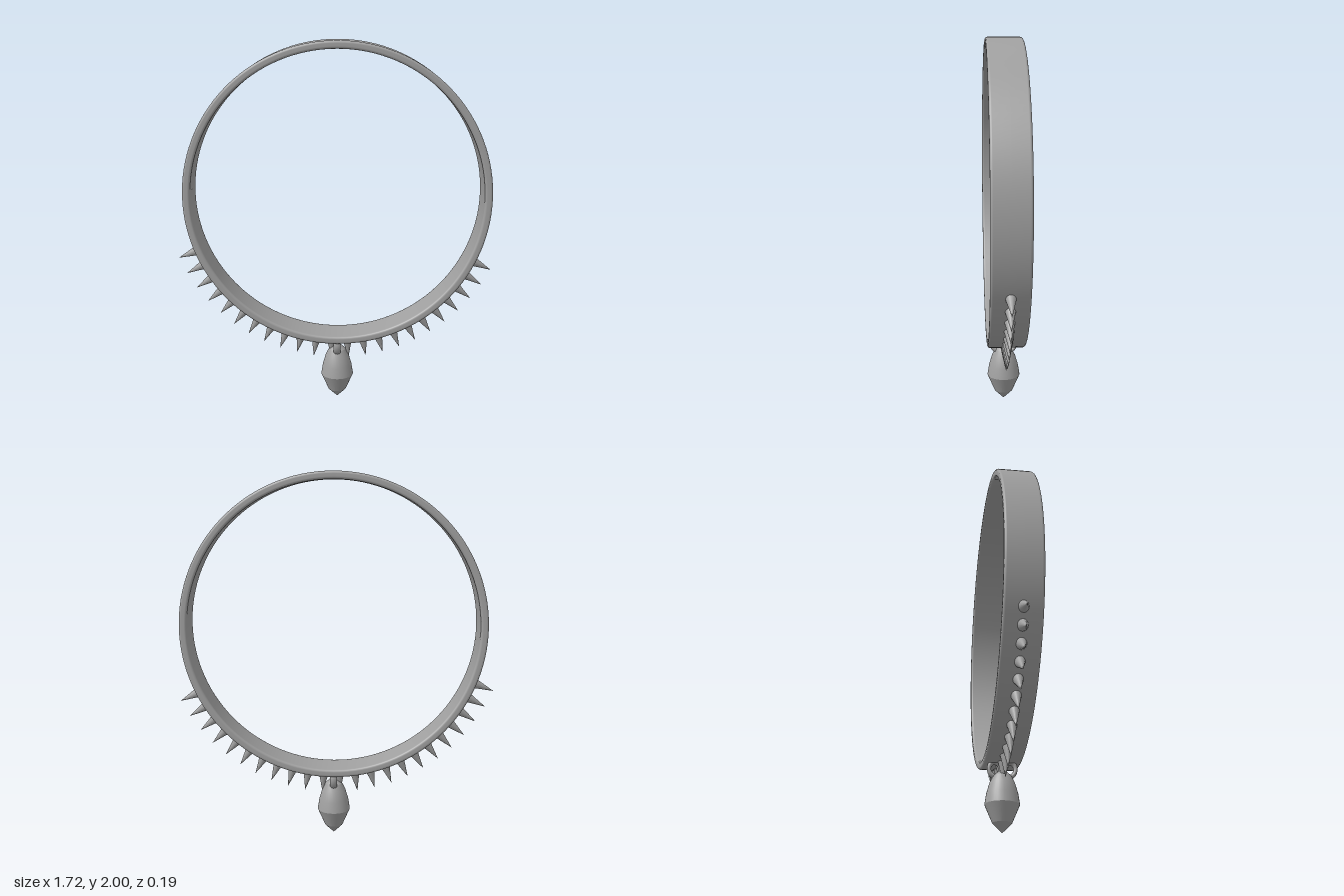
import * as THREE from 'three';
import { toCreasedNormals } from 'three/addons/utils/BufferGeometryUtils.js';

const CX = 0.012, CY = 1.178, OUTER = 0.822, INNER = 0.78, HALF_WIDTH = 0.097;

export function createModel() {
  const model = new THREE.Group();
  model.name = 'spikedCollar';
  const metal = new THREE.MeshStandardMaterial({ color: 0xa0a0a0 });
  metal.name = 'grey metal';

  const add = (name, geometry, parent = model) => {
    const mesh = new THREE.Mesh(geometry, metal);
    mesh.name = name;
    parent.add(mesh);
    return mesh;
  };

  // Band: rounded rectangular section turned around the z axis
  const bevel = 0.013;
  const section = [new THREE.Vector2(OUTER, 0)];
  const corners = [
    [OUTER - bevel, HALF_WIDTH - bevel], [INNER + bevel, HALF_WIDTH - bevel],
    [INNER + bevel, bevel - HALF_WIDTH], [OUTER - bevel, bevel - HALF_WIDTH],
  ];
  corners.forEach(([x, y], c) => {
    for (let i = 0; i <= 4; i++) {
      const a = (c + i / 4) * Math.PI / 2;
      section.push(new THREE.Vector2(x + bevel * Math.cos(a), y + bevel * Math.sin(a)));
    }
  });
  section.push(new THREE.Vector2(OUTER, 0));
  const band = add('band', new THREE.LatheGeometry(section, 128));
  band.rotation.x = Math.PI / 2;
  band.position.set(CX, CY, 0);

  // Spikes: 23 cones fanned along the lower part of the band
  const spikes = new THREE.Group();
  spikes.name = 'spikes';
  model.add(spikes);
  const base = 0.81, tip = 0.941;
  const cone = new THREE.ConeGeometry(0.032, tip - base, 16);
  cone.translate(0, (base + tip) / 2, 0);
  cone.scale(1, 1, 0.88);
  for (let i = 0; i < 23; i++) {
    const spike = add('spike', cone, spikes);
    spike.position.set(CX, CY, 0);
    spike.rotation.z = THREE.MathUtils.degToRad(180 + 22 + i * 5.99 - 90);
  }

  // Pendant: faceted drop with a crisp widest edge
  const profile = [
    [0, 0], [0.05, 0.05], [0.09, 0.143], [0.081, 0.2],
    [0.065, 0.255], [0.046, 0.293], [0.025, 0.312], [0, 0.318],
  ].map(([x, y]) => new THREE.Vector2(x, y));
  const pendant = add('pendant', toCreasedNormals(new THREE.LatheGeometry(profile, 32), 0.32));
  pendant.position.x = CX;

  // Two links joining the pendant to the band, leaning apart at the top
  for (const side of [1, -1]) {
    const link = new THREE.TorusGeometry(0.03, 0.011, 10, 28);
    link.scale(1, 1.3, 1.8);
    link.rotateY(Math.PI / 2);
    const mesh = add('pendantLink', link);
    mesh.position.set(CX, 0.325, side * 0.038);
    mesh.rotation.x = side * 0.2;
  }

  return model;
}
